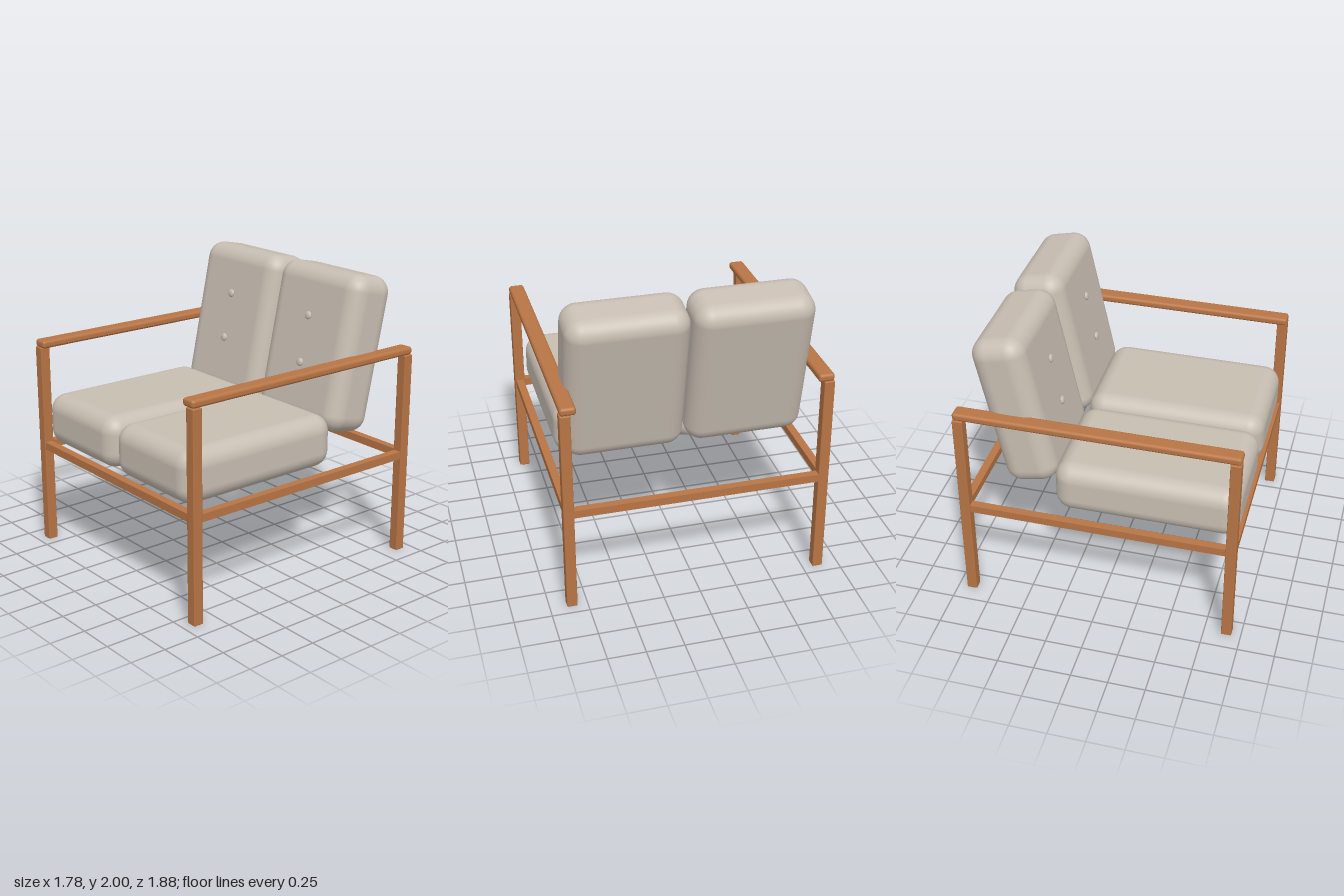
import * as THREE from 'three';
import { RoundedBoxGeometry } from 'three/addons/geometries/RoundedBoxGeometry.js';

export function createModel() {
  const group = new THREE.Group();
  group.name = 'twoSeatArmchair';

  const wood = new THREE.MeshStandardMaterial({ color: 0xb87545 });
  wood.name = 'warm wood';
  const fabric = new THREE.MeshStandardMaterial({ color: 0xc8beb2 });
  fabric.name = 'beige fabric';

  function add(parent, name, geometry, material, x, y, z) {
    const mesh = new THREE.Mesh(geometry, material);
    mesh.name = name;
    mesh.position.set(x, y, z);
    parent.add(mesh);
    return mesh;
  }

  // Shared geometries
  const legGeo = new RoundedBoxGeometry(0.07, 1.43, 0.07, 2, 0.006);
  const armGeo = new RoundedBoxGeometry(0.106, 0.054, 1.875, 4, 0.02);
  const sideRailGeo = new THREE.BoxGeometry(0.054, 0.054, 1.74);
  const crossRailGeo = new THREE.BoxGeometry(1.64, 0.054, 0.054);
  const seatGeo = new RoundedBoxGeometry(0.795, 0.362, 1.24, 6, 0.115);
  const backGeo = new RoundedBoxGeometry(0.795, 1.07, 0.362, 6, 0.115);
  const buttonGeo = new THREE.SphereGeometry(0.028, 20, 14).scale(1, 1, 0.5);

  // Front and back rails
  add(group, 'frontRail', crossRailGeo, wood, 0, 0.715, 0.905);
  add(group, 'backRail', crossRailGeo, wood, 0, 0.715, -0.91);

  for (const s of [1, -1]) {
    const side = s > 0 ? 'left' : 'right';

    // Side frame: legs, rail and armrest
    add(group, side + 'FrontLeg', legGeo, wood, s * 0.853, 0.715, 0.902);
    add(group, side + 'BackLeg', legGeo, wood, s * 0.853, 0.715, -0.902);
    add(group, side + 'SideRail', sideRailGeo, wood, s * 0.853, 0.715, 0);
    add(group, side + 'Armrest', armGeo, wood, s * 0.833, 1.457, 0);

    // Seat cushion
    add(group, side + 'SeatCushion', seatGeo, fabric, s * 0.407, 0.929, 0.307);

    // Reclined back cushion with two buttons
    const back = new THREE.Group();
    back.name = side + 'Back';
    back.position.set(s * 0.407, 1.46, -0.5625);
    back.rotation.x = -0.21;
    add(back, side + 'BackCushion', backGeo, fabric, 0, 0, 0);
    add(back, side + 'UpperButton', buttonGeo, fabric, 0, 0.195, 0.192);
    add(back, side + 'LowerButton', buttonGeo, fabric, 0, -0.127, 0.192);
    group.add(back);
  }

  return group;
}
